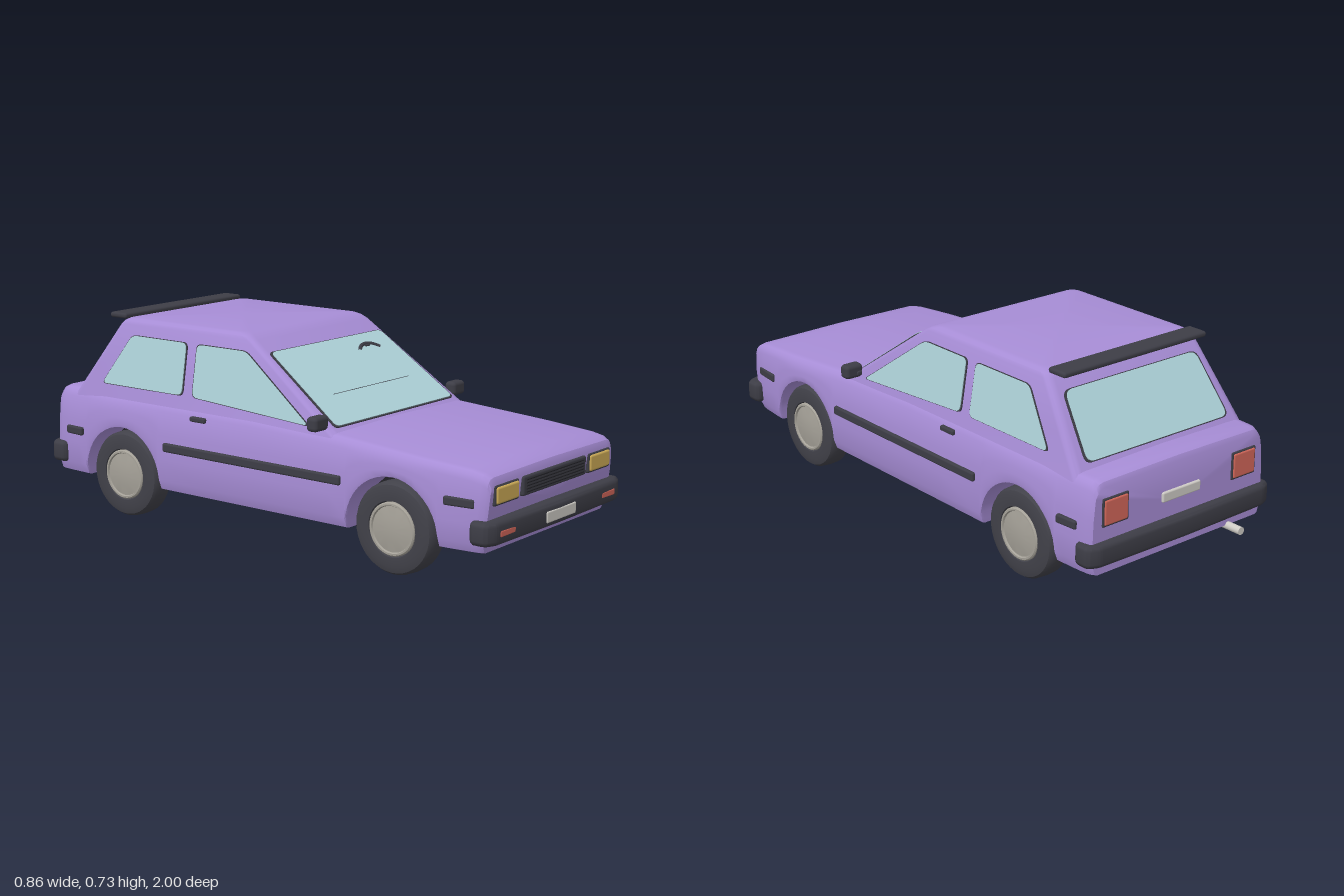
import * as THREE from 'three';
import { toCreasedNormals } from 'three/addons/utils/BufferGeometryUtils.js';
import { RoundedBoxGeometry } from 'three/addons/geometries/RoundedBoxGeometry.js';

const mat = (name, color) => Object.assign(new THREE.MeshStandardMaterial({ color }), { name });
const V = (x, y, z) => new THREE.Vector3(x, y, z);
const lerp = THREE.MathUtils.lerp;

// piecewise-linear lookup through [key, value] pairs with rising keys
function curve(pairs, k) {
  if (k <= pairs[0][0]) return pairs[0][1];
  for (let i = 1; i < pairs.length; i++) {
    const [a, va] = pairs[i - 1], [b, vb] = pairs[i];
    if (k <= b) return lerp(va, vb, (k - a) / (b - a));
  }
  return pairs[pairs.length - 1][1];
}

// skin over closed loops, capped at both ends with a fan
function loft(loops, crease, lift = 0) {
  const n = loops[0].length, pos = [], idx = [];
  loops.forEach(l => l.forEach(p => pos.push(p.x, p.y, p.z)));
  for (let i = 0; i < loops.length - 1; i++) for (let j = 0; j < n; j++) {
    const k = (j + 1) % n, a = i * n + j, b = i * n + k, c = b + n, d = a + n;
    idx.push(a, b, c, a, c, d);
  }
  [0, loops.length - 1].forEach(i => {
    const c = loops[i].reduce((s, p) => s.add(p), V(0, 0, 0)).divideScalar(n);
    const ci = pos.length / 3;
    pos.push(c.x, c.y + (i ? lift : 0), c.z);
    for (let j = 0; j < n; j++) {
      const a = i * n + j, b = i * n + (j + 1) % n;
      i ? idx.push(ci, a, b) : idx.push(ci, b, a);
    }
  });
  const g = new THREE.BufferGeometry();
  g.setAttribute('position', new THREE.Float32BufferAttribute(pos, 3));
  g.setIndex(idx);
  return toCreasedNormals(g, crease);
}

// polygon with rounded corners
function roundedShape(pts, r) {
  const s = new THREE.Shape();
  pts.forEach((p, i) => {
    const a = pts[(i + pts.length - 1) % pts.length], b = pts[(i + 1) % pts.length];
    const p1 = p.clone().add(a.clone().sub(p).setLength(r)), p2 = p.clone().add(b.clone().sub(p).setLength(r));
    i ? s.lineTo(p1.x, p1.y) : s.moveTo(p1.x, p1.y);
    s.quadraticCurveTo(p.x, p.y, p2.x, p2.y);
  });
  s.closePath();
  return s;
}

export function createModel() {
  const car = new THREE.Group();
  car.name = 'hatchbackCar';
  const paint = mat('purplePaint', 0xa78dd6), glass = mat('paleGlass', 0xaed3da), trim = mat('darkTrim', 0x3d3d46);
  const rubber = mat('tyreRubber', 0x414149), under = mat('underbodyBlack', 0x232328), amber = mat('headlightAmber', 0xcfad58);
  const red = mat('lampRed', 0xd3675a), metal = mat('hubMetal', 0xa5a198), plateMat = mat('plateWhite', 0xcfccc6);

  const add = (name, geo, m, x = 0, y = 0, z = 0, parent = car) => {
    const o = new THREE.Mesh(geo, m);
    o.name = name;
    o.position.set(x, y, z);
    parent.add(o);
    return o;
  };
  const box = (name, m, sx, sy, sz, r, x, y, z) => add(name, new RoundedBoxGeometry(sx, sy, sz, 2, r), m, x, y, z);

  // thin plate on a flat outline of 3D points, anticlockwise seen from outside
  const panel = (name, m, pts, r, thick, grow = 1) => {
    const c = pts.reduce((s, p) => s.add(p), V(0, 0, 0)).divideScalar(pts.length);
    const u = pts[1].clone().sub(pts[0]).normalize();
    const n = u.clone().cross(pts[pts.length - 1].clone().sub(pts[0])).normalize();
    const v = n.clone().cross(u);
    const flat = pts.map(p => p.clone().sub(c)).map(d => new THREE.Vector2(d.dot(u), d.dot(v)).multiplyScalar(grow));
    const g = new THREE.ExtrudeGeometry(roundedShape(flat, r), { depth: thick, bevelEnabled: false, curveSegments: 6 });
    g.applyMatrix4(new THREE.Matrix4().makeBasis(u, v, n).setPosition(c));
    add(name, g, m);
  };
  const windowPane = (name, pts, r) => {
    panel(name + 'Seal', trim, pts, r, 0.004, 1.025);
    panel(name, glass, pts, r, 0.007);
  };

  // lower body: cross-sections along z, with the underside rising over the wheels
  const axles = [-0.6, 0.6], archR = 0.182, archY = 0.145, sill = 0.128;
  const topLine = [[-0.94, 0.42], [-0.932, 0.436], [-0.915, 0.444], [0, 0.444], [0.35, 0.432], [0.89, 0.394], [0.935, 0.386], [0.957, 0.374], [0.966, 0.355]];
  const sideLine = [[0.128, 0.392], [0.17, 0.402], [0.28, 0.402], [0.36, 0.396], [0.4, 0.389], [0.44, 0.376]];
  const taper = [[-0.94, 0.945], [-0.93, 0.965], [-0.9, 0.98], [-0.7, 1], [0.7, 1], [0.92, 0.965], [0.955, 0.95], [0.966, 0.925]];
  const stations = [-0.94, -0.932, -0.915, -0.88, -0.82, -0.2, 0, 0.2, 0.35, 0.82, 0.89, 0.935, 0.957, 0.966].map(z => [z, sill]);
  axles.forEach(c => {
    for (let i = 0; i <= 20; i++) {
      const t = Math.PI * i / 20;
      stations.push([c - archR * Math.cos(t), archY + archR * Math.sin(t)]);
    }
    stations.push([c - archR - 0.002, sill], [c + archR + 0.002, sill]);
  });
  stations.sort((a, b) => a[0] - b[0]);
  const bodyLoops = stations.map(([z, yb]) => {
    const top = curve(topLine, z), k = curve(taper, z), half = [];
    const w = y => curve(sideLine, y) * k;
    half.push([w(yb) - 0.014, yb], [w(yb) - 0.003, yb + 0.004]);
    for (const f of [0.12, 0.4, 0.7, 1]) { const y = lerp(yb + 0.004, top - 0.032, f); half.push([w(y), y]); }
    half.push([w(top) - 0.002, top - 0.014], [w(top) - 0.012, top - 0.004], [w(top) - 0.032, top]);
    const loop = [[0, yb], ...half, [0, top + 0.004], ...half.slice().reverse().map(([x, y]) => [-x, y])];
    return loop.map(([x, y]) => V(x, y, z - (z > 0.85 ? 0.03 * ((0.4 - y) / 0.27) ** 2 : 0)));
  });
  add('lowerBody', loft(bodyLoops, 0.6), paint);

  // cabin: rounded rectangles stacked upward between sloping planes
  const cabW = y => 0.373 - 0.167 * (y - 0.44);
  const cabF = y => 0.335 - 1.442 * (y - 0.44);
  const cabR = y => -0.85 + 0.714 * (y - 0.44);
  const cabinLoops = [[0.41, 0], [0.55, 0], [0.695, 0], [0.707, 0.004], [0.715, 0.014], [0.718, 0.03]].map(([y, inset]) => {
    const w = cabW(y) - inset, f = cabF(y) - inset, b = cabR(y) + inset, r = 0.028, loop = [];
    [[1, 1], [1, -1], [-1, -1], [-1, 1]].forEach(([sx, sz], q) => {
      for (let i = 0; i <= 4; i++) {
        const t = (q + i / 4) * Math.PI / 2;
        loop.push(V(sx * (w - r) + r * Math.sin(t), y, (sz > 0 ? f - r : b + r) + r * Math.cos(t)));
      }
    });
    return loop;
  });
  add('cabin', loft(cabinLoops, 0.6, 0.004), paint);

  // windows
  const F = (x, y) => V(x, y, cabF(y)), R = (x, y) => V(x, y, cabR(y));
  windowPane('windscreen', [F(-0.332, 0.445), F(0.332, 0.445), F(0.306, 0.655), F(-0.306, 0.655)], 0.02);
  windowPane('rearWindow', [R(0.312, 0.462), R(-0.312, 0.462), R(-0.288, 0.655), R(0.288, 0.655)], 0.03);
  const sidePanes = {
    frontSideWindow: [[0.245, 0.446], [-0.277, 0.477], [-0.277, 0.658], [-0.055, 0.658]],
    rearSideWindow: [[-0.328, 0.477], [-0.715, 0.477], [-0.59, 0.658], [-0.328, 0.658]],
  };
  for (const s of [1, -1]) for (const [name, p] of Object.entries(sidePanes)) {
    const pts = p.map(([z, y]) => V(s * cabW(y), y, z));
    windowPane(name, s > 0 ? pts : pts.reverse(), 0.022);
  }

  // steering wheel rim and dashboard edge showing at the windscreen
  const rim = add('steeringWheel', new THREE.TorusGeometry(0.075, 0.008, 8, 20, 1.75), trim, 0.165, 0.588, cabF(0.588) + 0.008);
  rim.rotation.set(-0.96, 0, Math.PI / 2 - 0.875);
  box('steeringHub', trim, 0.03, 0.012, 0.014, 0.004, 0.165, 0.625, cabF(0.625) + 0.006);
  box('dashboardEdge', trim, 0.43, 0.003, 0.004, 0.001, 0, 0.525, cabF(0.525) + 0.01);

  // underside and wheel wells
  box('floorPan', under, 0.57, 0.034, 1.53, 0.01, 0, 0.122, 0.085);
  box('wheelWells', under, 0.56, 0.26, 1.66, 0.01, 0, 0.265, 0);

  // bumpers: bowed outline extruded upward, with soft edges
  const bow = [[-0.395, -0.075], [0.395, -0.075], [0.395, -0.035], [0.365, -0.022], [0, -0.016], [-0.365, -0.022], [-0.395, -0.035]];
  const bumperGeo = new THREE.ExtrudeGeometry(roundedShape(bow.map(p => new THREE.Vector2(...p)), 0.008),
    { depth: 0.044, bevelSize: 0.016, bevelThickness: 0.017, bevelSegments: 3 });
  bumperGeo.rotateX(Math.PI / 2).translate(0, 0.022, 0);
  const bumperSmooth = toCreasedNormals(bumperGeo, 0.6);
  add('frontBumper', bumperSmooth, trim, 0, 0.201, 0.997);
  add('rearBumper', bumperSmooth, trim, 0, 0.201, -0.973).rotation.y = Math.PI;

  // front and rear fittings
  box('grille', trim, 0.385, 0.066, 0.03, 0.008, 0, 0.317, 0.957);
  for (let i = 0; i < 5; i++) box('grilleSlat', under, 0.35, 0.004, 0.006, 0.001, 0, 0.297 + i * 0.01, 0.971);
  box('frontPlate', plateMat, 0.18, 0.04, 0.014, 0.006, 0, 0.198, 0.992);
  box('rearPlate', plateMat, 0.17, 0.036, 0.014, 0.006, 0, 0.315, -0.941);
  box('spoiler', trim, 0.63, 0.02, 0.08, 0.009, 0, 0.719, -0.688);

  const tyreProfile = [[0, -0.045], [0.125, -0.048], [0.146, -0.042], [0.154, -0.03], [0.156, 0], [0.154, 0.03], [0.146, 0.042], [0.125, 0.048], [0.094, 0.046], [0.088, 0.03]];
  const hubProfile = [[0.09, 0.02], [0.09, 0.045], [0.086, 0.049], [0.08, 0.049], [0.077, 0.043], [0.072, 0.044], [0.04, 0.049], [0, 0.051]];
  const lathe = p => toCreasedNormals(new THREE.LatheGeometry(p.map(q => new THREE.Vector2(...q)), 40), 0.6);
  const tyreGeo = lathe(tyreProfile), hubGeo = lathe(hubProfile);

  for (const s of [1, -1]) {
    // lamps
    box('headlightFrame', trim, 0.142, 0.068, 0.03, 0.008, s * 0.281, 0.316, 0.954);
    box('headlight', amber, 0.128, 0.056, 0.03, 0.008, s * 0.281, 0.316, 0.959);
    box('frontIndicator', red, 0.09, 0.024, 0.014, 0.006, s * 0.307, 0.199, 0.986);
    box('tailLampFrame', trim, 0.112, 0.098, 0.02, 0.006, s * 0.287, 0.335, -0.935);
    box('tailLamp', red, 0.1, 0.086, 0.022, 0.006, s * 0.287, 0.335, -0.938);
    // side trim
    box('sideMoulding', trim, 0.02, 0.032, 0.79, 0.007, s * 0.401, 0.289, 0.005);
    box('frontSideMarker', trim, 0.02, 0.03, 0.11, 0.007, s * 0.387, 0.289, 0.86).rotation.y = -s * 0.12;
    box('rearSideMarker', trim, 0.02, 0.03, 0.085, 0.007, s * 0.396, 0.289, -0.838).rotation.y = s * 0.09;
    box('doorHandle', trim, 0.02, 0.018, 0.07, 0.006, s * 0.388, 0.405, -0.235);
    // mirrors
    box('mirrorArm', trim, 0.06, 0.018, 0.022, 0.006, s * 0.36, 0.458, 0.285);
    box('mirror', trim, 0.072, 0.05, 0.045, 0.014, s * 0.396, 0.466, 0.3);
    // wheels
    for (const z of axles) {
      const wheel = new THREE.Group();
      wheel.name = z > 0 ? 'frontWheel' : 'rearWheel';
      wheel.position.set(s * 0.343, 0.156, z);
      wheel.rotation.z = -s * Math.PI / 2;
      add('tyre', tyreGeo, rubber, 0, 0, 0, wheel);
      add('hubcap', hubGeo, metal, 0, 0, 0, wheel);
      car.add(wheel);
    }
  }

  // exhaust
  add('exhaustPipe', new THREE.CylinderGeometry(0.014, 0.014, 0.34, 16).rotateX(Math.PI / 2), plateMat, -0.23, 0.125, -0.83);
  return car;
}
